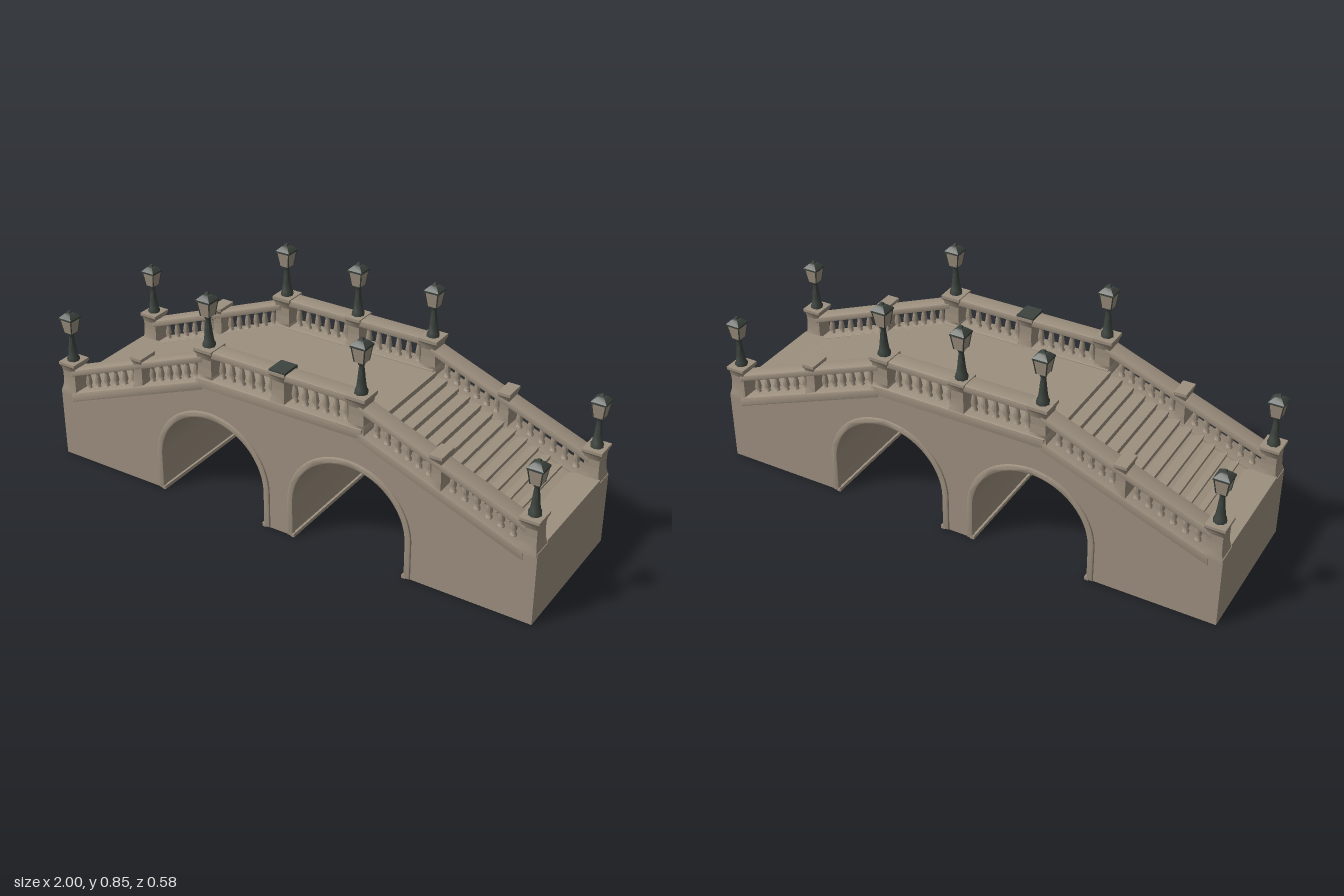
import * as THREE from 'three';
import { toCreasedNormals } from 'three/addons/utils/BufferGeometryUtils.js';

const stone = new THREE.MeshStandardMaterial({ color: 0x9c8f7e });
stone.name = 'stone';
const iron = new THREE.MeshStandardMaterial({ color: 0x3c433d });
iron.name = 'dark iron';

const RAIL_Z = 0.245;
const ARCH = { x: 0.29, y: 0.145, r: 0.23 };
// Height of the sloping railing foot at distance x from the middle
const slopeY = (x) => 0.295 + 0.39 * (0.9 - x);

function add(parent, name, geometry, material = stone, x = 0, y = 0, z = 0) {
  const mesh = new THREE.Mesh(geometry, material);
  mesh.name = name;
  mesh.position.set(x, y, z);
  parent.add(mesh);
  return mesh;
}

// Extrude a side outline across the bridge, centred on z = 0
function acrossBridge(shape, width, bevel = 0) {
  const depth = width - 2 * bevel;
  const geo = new THREE.ExtrudeGeometry(shape, {
    depth, curveSegments: 40, bevelEnabled: bevel > 0,
    bevelSize: bevel, bevelOffset: -bevel, bevelThickness: bevel, bevelSegments: 2,
  });
  geo.translate(0, 0, -depth / 2);
  return toCreasedNormals(geo, 0.6);
}

const polygon = (points) => new THREE.Shape(points.map(([x, y]) => new THREE.Vector2(x, y)));

// Turned or square section: profile of [half width, y]
function turned(profile, sides) {
  const k = sides === 4 ? Math.SQRT2 : 1;
  const points = profile.map(([r, y]) => new THREE.Vector2(r * k, y));
  const geo = new THREE.LatheGeometry(points, sides, sides === 4 ? Math.PI / 4 : 0);
  return toCreasedNormals(geo, sides === 4 ? 0.5 : 0.9);
}

function bodyShape() {
  const s = new THREE.Shape();
  s.moveTo(-1, 0);
  for (const side of [-1, 1]) {
    const c = side * ARCH.x;
    s.lineTo(c - ARCH.r, 0);
    s.lineTo(c - ARCH.r, ARCH.y);
    s.absarc(c, ARCH.y, ARCH.r, Math.PI, 0, true);
    s.lineTo(c + ARCH.r, 0);
  }
  [[1, 0], [1, 0.282], [0.92, 0.282], [0.34, 0.505], [-0.34, 0.505], [-0.92, 0.282], [-1, 0.282]]
    .forEach(([x, y]) => s.lineTo(x, y));
  return s;
}

// Raised band that follows an arch opening down to the ground
function archBandShape() {
  const s = new THREE.Shape();
  const inner = ARCH.r - 0.003, outer = ARCH.r + 0.022;
  s.moveTo(-outer, 0);
  s.lineTo(-inner, 0);
  s.lineTo(-inner, ARCH.y);
  s.absarc(0, ARCH.y, inner, Math.PI, 0, true);
  s.lineTo(inner, 0);
  s.lineTo(outer, 0);
  s.lineTo(outer, ARCH.y);
  s.absarc(0, ARCH.y, outer, 0, Math.PI, false);
  return s;
}

// Deck outline with a flight of steps at each end
function deckShape() {
  const half = [[1, 0.295]];
  const steps = 12, x0 = 0.86, x1 = 0.35, y0 = 0.295, y1 = 0.527;
  for (let i = 0; i < steps; i++) {
    const x = x0 + (x1 - x0) * i / (steps - 1);
    half.push([x, y0 + (y1 - y0) * i / steps], [x, y0 + (y1 - y0) * (i + 1) / steps]);
  }
  const other = half.map(([x, y]) => [-x, y]).reverse();
  return polygon([[-0.3, 0.46], [-0.9, 0.25], [-1, 0.25], [1, 0.25], [0.9, 0.25], [0.3, 0.46]]
    .filter((p, i) => i !== 2 && i !== 3)
    .reverse().concat(other.slice().map((p) => p)).length
    ? [[-1, 0.27], [-0.9, 0.27], [-0.32, 0.48], [0.32, 0.48], [0.9, 0.27], [1, 0.27], ...half, ...other]
    : []);
}

// Straight or sloping bar from (x0, y0) to (x1, y1), y being its underside
function bar(x0, y0, x1, y1, height, width) {
  return acrossBridge(polygon([[x0, y0], [x1, y1], [x1, y1 + height], [x0, y0 + height]]), width, 0.006);
}

const balusterGeo = turned([
  [0, 0], [0.013, 0], [0.013, 0.1], [0.008, 0.16], [0.013, 0.38],
  [0.008, 0.72], [0.007, 0.82], [0.012, 0.9], [0.012, 1], [0, 1]], 10);

function balusters(parent, xa, xb, footAt, height) {
  const count = 6;
  for (let i = 0; i < count; i++) {
    const x = xa + (xb - xa) * (i + 0.5) / count;
    add(parent, 'baluster', balusterGeo, stone, x, footAt(x) - 0.004, 0).scale.y = height;
  }
}

// Pedestal with flared foot and cap
function pedestal(parent, x, y0, y1, halfX, halfZ) {
  const h = y1 - y0;
  const geo = turned([[0, 0], [0.98, 0], [0.96, h * 0.1], [0.8, h * 0.28], [0.76, h * 0.5],
    [0.77, h * 0.72], [0.84, h * 0.84], [1, h * 0.92], [1, h], [0, h]], 4);
  add(parent, 'pedestal', geo, stone, x, y0, 0).scale.set(halfX, 1, halfZ);
}

const lampPostGeo = turned([[0, 0], [0.024, 0], [0.024, 0.012], [0.019, 0.022], [0.015, 0.05],
  [0.012, 0.08], [0.009, 0.105], [0.013, 0.112], [0.013, 0.118], [0.018, 0.124], [0, 0.124]], 8);
const lanternGeo = turned([[0, 0.121], [0.018, 0.121], [0.026, 0.178], [0, 0.178]], 4);
const roofGeo = turned([[0, 0.176], [0.029, 0.176], [0.029, 0.183], [0.014, 0.198], [0.007, 0.201], [0.005, 0.208], [0, 0.208]], 4);
const frameBarGeo = new THREE.CylinderGeometry(0.0025, 0.0025, 0.058, 5);

function lamp(parent, x, y) {
  const g = new THREE.Group();
  g.name = 'lamp';
  g.position.set(x, y, 0);
  add(g, 'lampPost', lampPostGeo, iron);
  add(g, 'lanternPanes', lanternGeo);
  add(g, 'lanternRoof', roofGeo, iron);
  // Corner bars lean outward with the panes
  for (const sx of [-1, 1]) for (const sz of [-1, 1]) {
    const b = add(g, 'lanternCorner', frameBarGeo, iron, sx * 0.022, 0.15, sz * 0.022);
    b.quaternion.setFromUnitVectors(new THREE.Vector3(0, 1, 0),
      new THREE.Vector3(sx * 0.008, 0.057, sz * 0.008).normalize());
  }
  parent.add(g);
}

function railing(name, z, hasMiddleLamp) {
  const g = new THREE.Group();
  g.name = name;
  g.position.z = z;
  // Level stretch
  add(g, 'footRail', bar(-0.34, 0.492, 0.34, 0.492, 0.04, 0.088));
  add(g, 'handRail', bar(-0.31, 0.616, 0.31, 0.616, 0.027, 0.07));
  pedestal(g, 0, 0.515, 0.647, 0.032, 0.043);
  if (hasMiddleLamp) lamp(g, 0, 0.645);
  else add(g, 'lampBasePlate', new THREE.BoxGeometry(0.066, 0.009, 0.078), iron, 0, 0.649, 0);

  for (const s of [-1, 1]) {
    balusters(g, s * 0.028, s * 0.278, () => 0.53, 0.092);
    // Sloping stretch, ordered left to right so faces point outward
    const ends = s < 0 ? [0.95, 0.32] : [0.32, 0.95];
    const slope = (lift, h, w) => bar(s * ends[0], slopeY(ends[0]) + lift, s * ends[1], slopeY(ends[1]) + lift, h, w);
    add(g, 'slopingFootRail', slope(-0.036, 0.038, 0.088));
    add(g, 'slopingHandRail', slope(0.07, 0.027, 0.07));
    for (const [a, b] of [[0.355, 0.598], [0.645, 0.915]]) {
      balusters(g, s * a, s * b, (x) => slopeY(Math.abs(x)), 0.08);
    }
    pedestal(g, s * 0.62, 0.385, 0.524, 0.024, 0.042);
    pedestal(g, s * 0.312, 0.5, 0.647, 0.038, 0.043);
    pedestal(g, s * 0.962, 0.27, 0.403, 0.037, 0.043);
    lamp(g, s * 0.312, 0.645);
    lamp(g, s * 0.962, 0.4);
  }
  return g;
}

export function createModel() {
  const bridge = new THREE.Group();
  bridge.name = 'bridge';
  add(bridge, 'body', acrossBridge(bodyShape(), 0.57));
  add(bridge, 'steppedDeck', acrossBridge(deckShape(), 0.42));

  // Arch bands and the low ledges along the foot of each tunnel wall
  const band = acrossBridge(archBandShape(), 0.02, 0.006);
  const ledge = new THREE.BoxGeometry(0.016, 0.014, 0.584);
  for (const s of [-1, 1]) {
    for (const side of [-1, 1]) {
      add(bridge, 'archBand', band, stone, s * ARCH.x, 0, side * 0.282);
      add(bridge, 'tunnelLedge', ledge, stone, s * ARCH.x + side * (ARCH.r - 0.001), 0.007, 0);
    }
  }
  bridge.add(railing('frontRailing', RAIL_Z, false), railing('backRailing', -RAIL_Z, true));
  return bridge;
}
